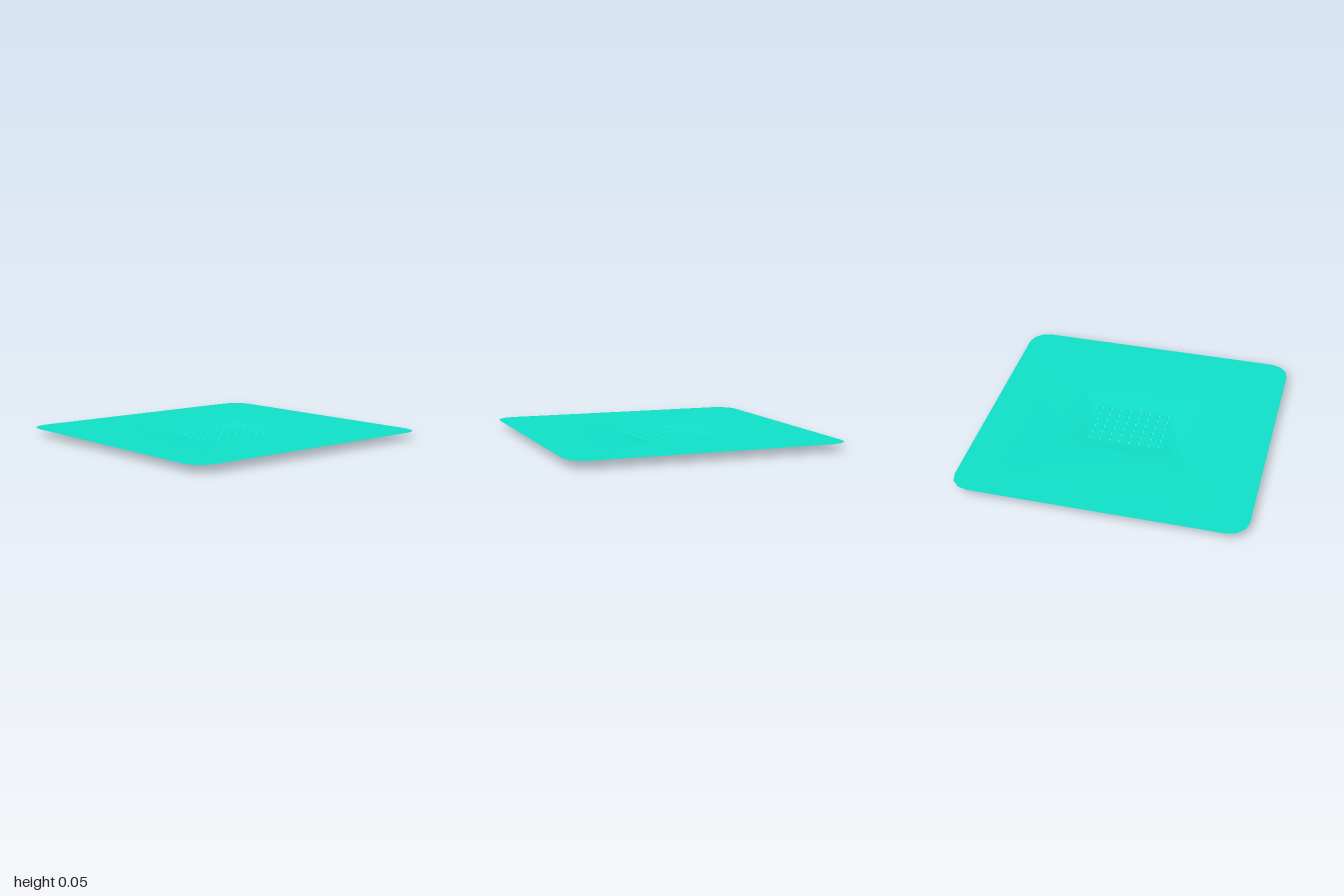
import * as THREE from 'three';
import { mergeGeometries } from 'three/addons/utils/BufferGeometryUtils.js';

const TOP = 0.05, FLOOR = 0.012;
const material = new THREE.MeshStandardMaterial({ color: 0x10e0c8, side: THREE.DoubleSide });

// Corner order for every ring: back right, front right, front left, back left
const floorRing = [[0.2, -0.265], [0.2, 0.285], [-0.2, 0.285], [-0.2, -0.265]];
const basinRing = [[0.4, -0.46], [0.4, 0.49], [-0.4, 0.49], [-0.4, -0.46]];
const outerRing = [[0.96, -1], [0.96, 1], [-0.96, 0.99], [-0.96, -0.985]];
const RADIUS = 0.135, STEPS = 4;

// Flat rim with rounded corners, sloping down to the sunken floor
function sheetGeometry() {
  const positions = [], index = [];
  floorRing.forEach(([x, z]) => positions.push(x, FLOOR, z));
  basinRing.forEach(([x, z]) => positions.push(x, TOP, z));
  outerRing.forEach(([x, z], c) => {
    const cx = x - Math.sign(x) * RADIUS, cz = z - Math.sign(z) * RADIUS;
    for (let i = 0; i < STEPS; i++) {
      const a = (c - 1 + i / (STEPS - 1)) * Math.PI / 2;
      positions.push(cx + RADIUS * Math.cos(a), TOP, cz + RADIUS * Math.sin(a));
    }
  });
  for (let c = 0; c < 4; c++) {
    const n = (c + 1) % 4;
    const first = 8 + c * STEPS, last = first + STEPS - 1, next = 8 + n * STEPS;
    index.push(c, n, 4 + n, c, 4 + n, 4 + c);
    index.push(4 + c, 4 + n, next, 4 + c, next, last);
    for (let i = first; i < last; i++) index.push(4 + c, i + 1, i);
  }
  // Turn every triangle to face up
  for (let t = 0; t < index.length; t += 3) {
    const [a, b, c] = [0, 1, 2].map(k => new THREE.Vector3().fromArray(positions, index[t + k] * 3));
    if (b.sub(a).cross(c.sub(a)).y < 0) [index[t + 1], index[t + 2]] = [index[t + 2], index[t + 1]];
  }
  const geometry = new THREE.BufferGeometry();
  geometry.setAttribute('position', new THREE.Float32BufferAttribute(positions, 3));
  geometry.setIndex(index);
  geometry.computeVertexNormals();
  return geometry;
}

export function createModel() {
  const model = new THREE.Group();
  model.name = 'perforatedTray';
  const add = (name, geometry) => {
    const mesh = new THREE.Mesh(geometry, material);
    mesh.name = name;
    model.add(mesh);
  };

  add('slopedSheet', sheetGeometry());

  // Floor plate with a grid of small conical dimples pressed downward
  const plate = new THREE.Shape(floorRing.map(([x, z]) => new THREE.Vector2(x, z)));
  const r = 0.013, dimples = [];
  for (let row = 0; row < 8; row++) {
    for (let col = 0; col < 6; col++) {
      const x = -0.18 + col * 0.07, z = -0.24 + row * 0.07;
      const ring = Array.from({ length: 8 }, (_, i) => {
        const a = i * Math.PI / 4;
        return new THREE.Vector2(x + r * Math.cos(a), z + r * Math.sin(a));
      });
      plate.holes.push(new THREE.Path(ring));
      dimples.push(new THREE.CylinderGeometry(r, 0.002, FLOOR, 8, 1, false).translate(x, FLOOR / 2, z));
    }
  }
  // Drop the upper caps so the dimples stay open
  dimples.forEach(g => {
    const cap = g.groups.find(group => group.materialIndex === 1);
    const kept = Array.from(g.index.array).filter((_, i) => i < cap.start || i >= cap.start + cap.count);
    g.setIndex(kept);
    g.clearGroups();
  });
  const floor = new THREE.ShapeGeometry(plate);
  floor.scale(1, -1, 1).rotateX(-Math.PI / 2).translate(0, FLOOR, 0);
  // Mirroring reversed the winding, so flip it to face up again
  const order = floor.index.array;
  for (let i = 0; i < order.length; i += 3) [order[i], order[i + 1]] = [order[i + 1], order[i]];
  floor.computeVertexNormals();
  add('floorPlate', floor);
  add('dimples', mergeGeometries(dimples));
  return model;
}
